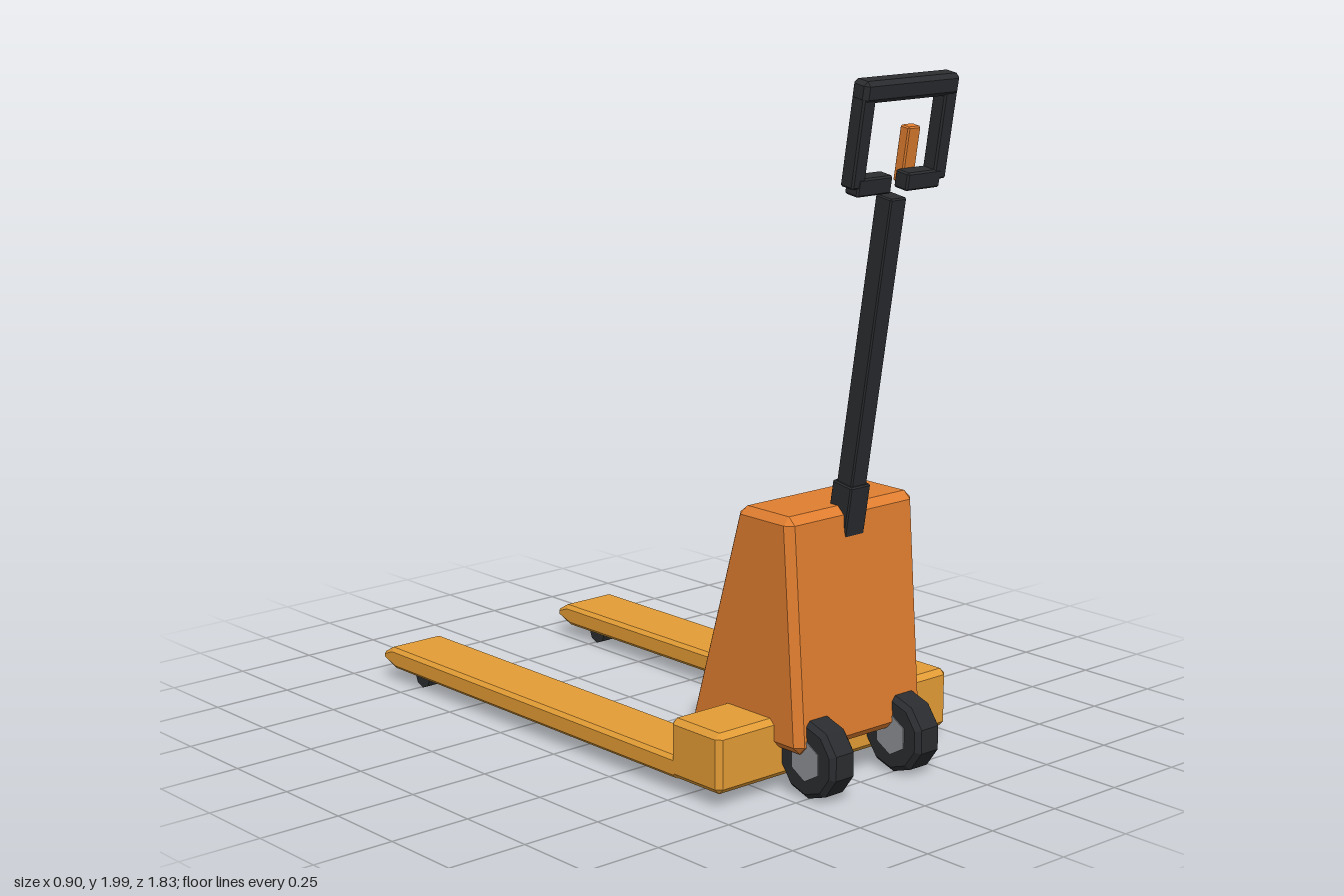
import * as THREE from 'three';
import { ConvexGeometry } from 'three/addons/geometries/ConvexGeometry.js';

const mat = (color) => new THREE.MeshStandardMaterial({ color, flatShading: true });
const V = (x, y, z) => new THREE.Vector3(x, y, z);

// Box with every edge chamfered; warp may move each corner point
function chamferBox(w, h, d, c, warp = (p) => p) {
  const pts = [];
  for (const x of [-1, 1]) for (const y of [-1, 1]) for (const z of [-1, 1]) {
    const [a, b, e] = [w / 2, h / 2, d / 2];
    pts.push(
      warp(V(x * a, y * (b - c), z * (e - c))),
      warp(V(x * (a - c), y * b, z * (e - c))),
      warp(V(x * (a - c), y * (b - c), z * e)),
    );
  }
  return new ConvexGeometry(pts);
}

// Fork: side profile [z, y], pulled in slightly at both long sides
function forkGeometry() {
  const profile = [[0.47, 0.045], [0.47, 0.11], [-0.87, 0.11], [-0.91, 0.087], [-0.91, 0.072], [-0.855, 0.045]];
  const pts = [];
  for (const s of [-1, 1]) for (const [z, y] of profile) {
    pts.push(V(s * 0.088, y, z));
    pts.push(V(s * 0.1, 0.078 + (y - 0.078) * 0.65, z < 0 ? z + 0.01 : z));
  }
  return new ConvexGeometry(pts);
}

export function createModel() {
  const model = new THREE.Group();
  model.name = 'palletTruck';
  const yellow = mat(0xe39c35), orange = mat(0xe07e30), dark = mat(0x2a2c2f), grey = mat(0x8c8f94);

  const add = (parent, name, geometry, material, x = 0, y = 0, z = 0) => {
    const mesh = new THREE.Mesh(geometry, material);
    mesh.name = name;
    mesh.position.set(x, y, z);
    parent.add(mesh);
    return mesh;
  };

  // Cross beam joining the forks
  add(model, 'crossBeam', chamferBox(0.9, 0.175, 0.205, 0.016), yellow, 0, 0.1325, 0.5525);

  // Housing: a chamfered block whose front and back lean in towards the top
  const height = 0.665, bottom = 0.135;
  const housing = chamferBox(0.49, height, 2, 0.022, (p) => {
    const t = p.y / height + 0.5;
    const front = 0.757 - 0.05 * t, back = 0.299 + 0.199 * t;
    const inset = Math.abs(p.z) < 0.99 ? 0.022 : 0;
    p.z = p.z > 0 ? front - inset : back + inset;
    return p;
  });
  add(model, 'housing', housing, orange, 0, bottom + height / 2, 0);

  // Steering wheel shapes, axle along x
  const tyreGeo = new THREE.LatheGeometry([
    [0.05, -0.047], [0.098, -0.047], [0.113, -0.033], [0.113, 0.033], [0.098, 0.047], [0.05, 0.047],
  ].map(([r, y]) => new THREE.Vector2(r, y)), 10);
  const hubGeo = new THREE.CylinderGeometry(0.06, 0.06, 0.1, 6);
  const rollerGeo = new THREE.CylinderGeometry(0.037, 0.037, 0.145, 8);
  for (const g of [tyreGeo, hubGeo, rollerGeo]) g.rotateY(Math.PI / 2).rotateZ(Math.PI / 2);
  const forkGeo = forkGeometry();

  // Forks, fork rollers and steering wheels, mirrored
  for (const [side, s] of [['left', 1], ['right', -1]]) {
    add(model, side + 'Fork', forkGeo, yellow, s * 0.35);
    add(model, side + 'ForkRoller', rollerGeo, dark, s * 0.35, 0.043, -0.74);
    add(model, side + 'Tyre', tyreGeo, dark, s * 0.167, 0.118, 0.748);
    add(model, side + 'Hub', hubGeo, grey, s * 0.167, 0.118, 0.748);
  }

  // Tilted steering handle, built upright around its collar
  const handle = new THREE.Group();
  handle.name = 'handle';
  handle.position.set(0, 0.79, 0.688);
  handle.rotation.x = 0.165;
  model.add(handle);
  add(handle, 'collar', chamferBox(0.076, 0.15, 0.075, 0.004), dark);
  add(handle, 'shaft', chamferBox(0.06, 0.89, 0.06, 0.004), dark, 0, 0.45);
  add(handle, 'gripTopBar', chamferBox(0.355, 0.06, 0.06, 0.012), dark, 0, 1.193);
  for (const [side, s] of [['left', 1], ['right', -1]]) {
    add(handle, side + 'GripSide', chamferBox(0.047, 0.255, 0.048, 0.005), dark, s * 0.153, 1.06);
    add(handle, side + 'GripFoot', chamferBox(0.127, 0.05, 0.05, 0.005), dark, s * 0.092, 0.935);
  }
  add(handle, 'lever', chamferBox(0.047, 0.155, 0.034, 0.004), orange, 0.077, 0.995, -0.037);

  return model;
}
